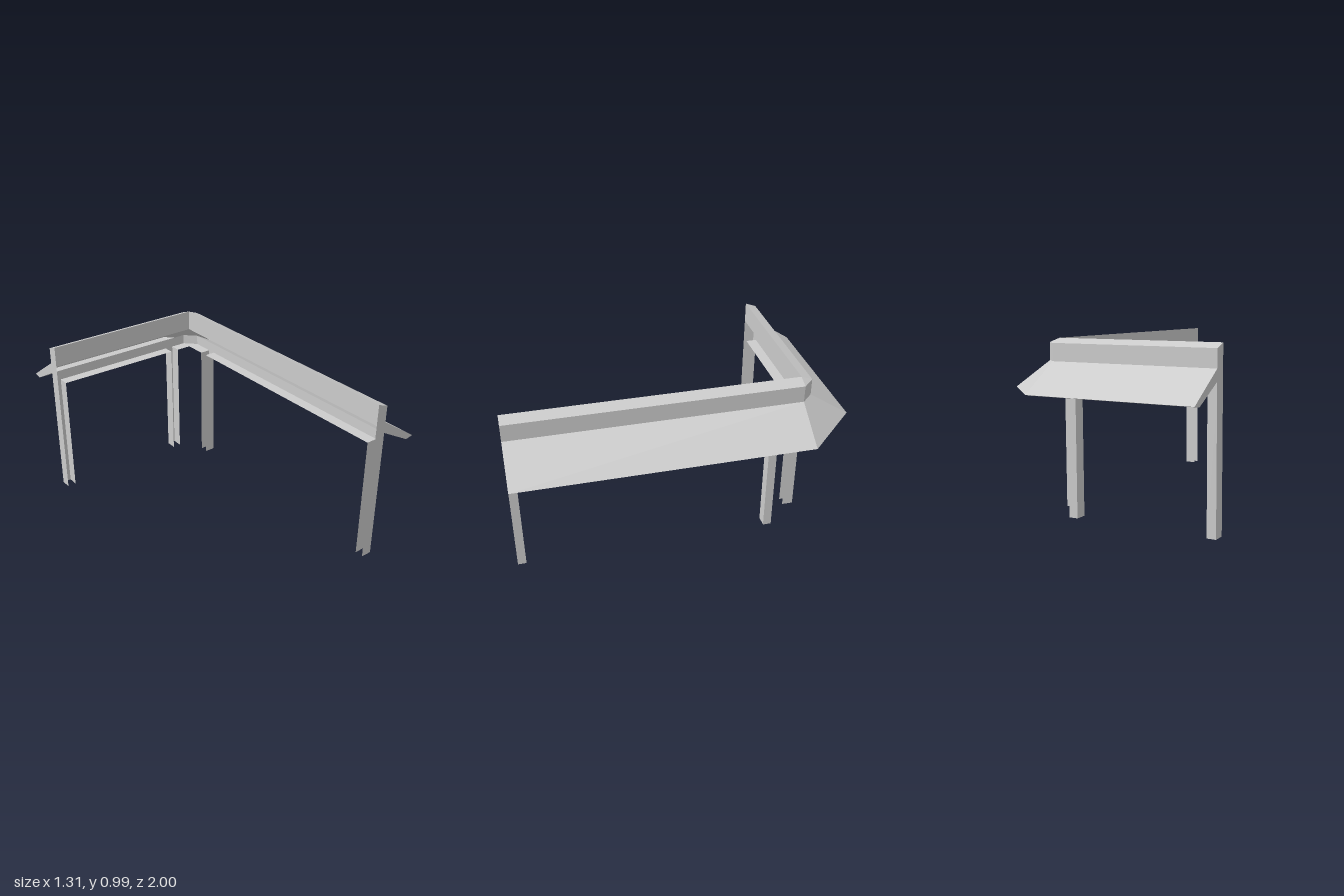
import * as THREE from 'three';

// Thin-walled L-shaped frame: two wings meeting at a chamfered corner.
// Local coordinates: s = distance from the corner along a wing,
// d = distance outward from the inner face, y = height.
const X0 = 0.343, Z0 = -0.69;   // inner corner
const D = 0.067;                // frame depth
const SILL = 0.74;              // underside of the lower beam
const wings = [
  { name: 'back', length: 0.996, posts: [[0.095, 0.148], [0.943, 0.996]],
    at: (s, d, y) => [X0 - s, y, Z0 - d] },
  { name: 'side', length: 1.69, posts: [[0.135, 0.185], [1.64, 1.69]],
    at: (s, d, y) => [X0 + d, y, Z0 + s] },
];
const [back, side] = wings;

const material = new THREE.MeshStandardMaterial({
  color: 0xcccccc, side: THREE.DoubleSide, flatShading: true,
});

// Flat-shaded mesh from four-cornered faces, skipping zero-area triangles
function panels(name, quads) {
  const pos = [];
  const tri = new THREE.Triangle();
  for (const [a, b, c, d] of quads) {
    for (const t of [[a, b, c], [a, c, d]]) {
      tri.set(...t.map((p) => new THREE.Vector3(...p)));
      if (tri.getArea() > 1e-7) pos.push(...t.flat());
    }
  }
  const geometry = new THREE.BufferGeometry();
  geometry.setAttribute('position', new THREE.Float32BufferAttribute(pos, 3));
  geometry.computeVertexNormals();
  const mesh = new THREE.Mesh(geometry, material);
  mesh.name = name;
  return mesh;
}

// Sweep an open profile of [d, y] points along both wings and round the corner
function sweep(name, profile) {
  const ring = ([d, y]) => [
    back.at(back.length, d, y), back.at(0, d, y),
    side.at(0, d, y), side.at(side.length, d, y),
  ];
  const quads = [];
  for (let i = 0; i < profile.length - 1; i++) {
    const p = ring(profile[i]), q = ring(profile[i + 1]);
    for (let k = 0; k < 3; k++) quads.push([p[k], p[k + 1], q[k + 1], q[k]]);
  }
  return panels(name, quads);
}

export function createModel() {
  const model = new THREE.Group();
  model.name = 'cornerAwningFrame';

  // Upper beam with sloped top, awning wedge and outer face of the lower beam
  model.add(sweep('upperBeam', [[D, 0.865], [0, 0.865], [0, 0.99], [D, 0.965], [D, 0.865]]));
  model.add(sweep('awning', [[D, 0.865], [0.31, 0.704], [0.26, 0.695], [D, 0.8]]));
  model.add(sweep('lowerBeamFace', [[D, 0.8], [D, SILL]]));

  // Underside plate at the chamfered corner
  const inner = back.at(0, 0, SILL);
  model.add(panels('cornerPlate', [[inner, inner, back.at(0, D, SILL), side.at(0, D, SILL)]]));

  for (const { name, length, posts, at } of wings) {
    // Channel posts, open on the inner side
    for (const [s0, s1] of posts) {
      const wall = (a, da, b, db) => [at(a, da, 0), at(b, db, 0), at(b, db, SILL), at(a, da, SILL)];
      const faces = [wall(s0, 0, s0, D), wall(s0, D, s1, D)];
      if (s1 < length) faces.push(wall(s1, D, s1, 0));
      model.add(panels(name + 'Post', faces));
    }

    // Underside plates of the lower beam between the posts
    const spans = [[0, posts[0][0]], [posts[0][1], posts[1][0]]];
    model.add(panels(name + 'LowerBeamPlate', spans.map(([a, b]) =>
      [at(a, 0, SILL), at(b, 0, SILL), at(b, D, SILL), at(a, D, SILL)])));

    // End cap covering the post, both beams and the awning
    const e = (d, y) => at(length, d, y);
    model.add(panels(name + 'EndCap', [
      [e(0, 0), e(D, 0), e(D, 0.965), e(0, 0.99)],
      [e(D, 0.8), e(0.26, 0.695), e(0.31, 0.704), e(D, 0.865)],
    ]));
  }
  return model;
}
